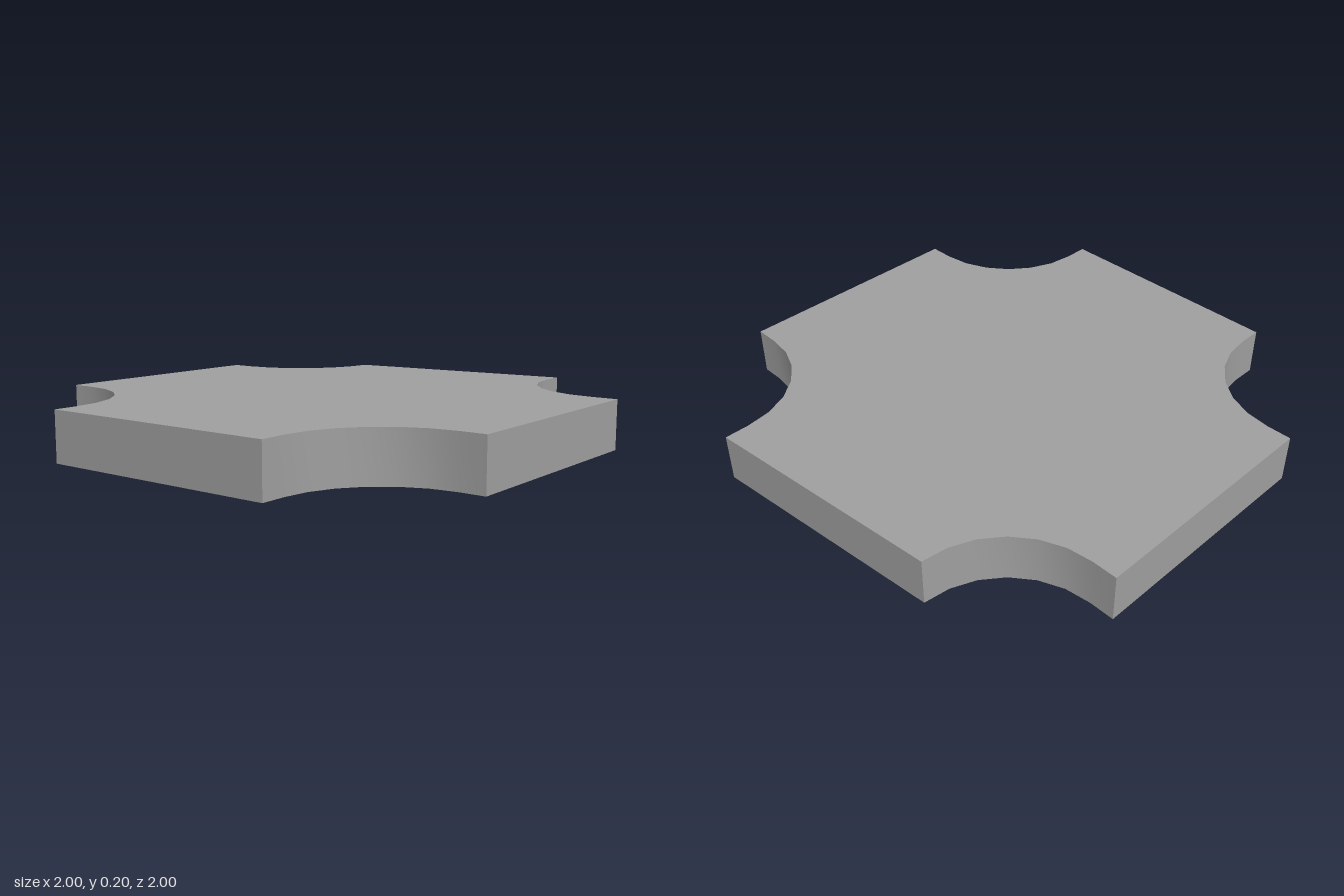
import * as THREE from 'three';
import { toCreasedNormals } from 'three/addons/utils/BufferGeometryUtils.js';

const HALF = 1;
const LIP = 0.1; // short straight run at both ends of each notch
const NOTCH_RADIUS = 0.4;
const THICKNESS = 0.2;

// Square outline with a concave rounded notch cut from each corner
function plateShape() {
  const shape = new THREE.Shape();
  const centre = HALF - LIP;
  const inner = centre - NOTCH_RADIUS;
  for (let i = 0; i < 4; i++) {
    const turn = i * Math.PI / 2;
    const at = (x, y) => new THREE.Vector2(x, y).rotateAround(new THREE.Vector2(), turn);
    const start = at(HALF, inner);
    const mid = at(centre, centre);
    const end = at(inner, HALF);
    if (i === 0) shape.moveTo(start.x, start.y);
    else shape.lineTo(start.x, start.y);
    shape.absarc(mid.x, mid.y, NOTCH_RADIUS, Math.PI * 1.5 + turn, Math.PI + turn, true);
    shape.lineTo(end.x, end.y);
  }
  return shape;
}

export function createModel() {
  const group = new THREE.Group();
  group.name = 'notchedPlate';

  // Flat slab lying on the ground, smooth notches and sharp edges
  const extruded = new THREE.ExtrudeGeometry(plateShape(), {
    depth: THICKNESS,
    curveSegments: 3, // six facets per notch
    bevelEnabled: false,
  });
  extruded.rotateX(-Math.PI / 2);
  const plate = new THREE.Mesh(
    toCreasedNormals(extruded, Math.PI / 6),
    new THREE.MeshStandardMaterial({ color: 0x9f9f9f })
  );
  plate.name = 'plate';
  group.add(plate);

  return group;
}
